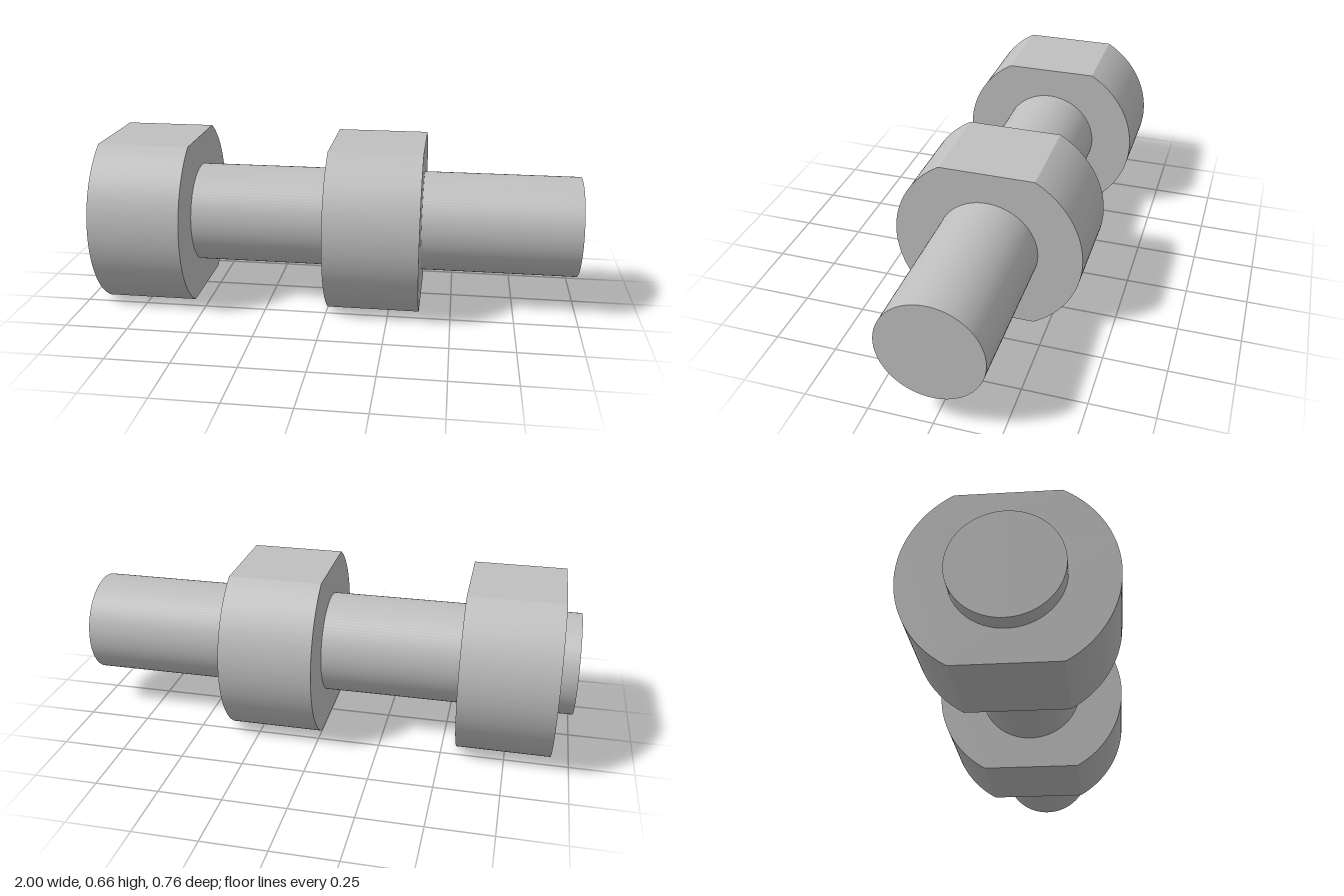
import * as THREE from 'three';
import { toCreasedNormals } from 'three/addons/utils/BufferGeometryUtils.js';

const AXIS_Y = 0.329; // height of the shaft axis, also half the distance across the flats
const SHAFT_RADIUS = 0.203;
const COLLAR_RADIUS = 0.379;

// Round disc with two opposite flats, extruded along x from x0 to x1
function collarGeometry(x0, x1) {
  const a = Math.asin(AXIS_Y / COLLAR_RADIUS);
  const shape = new THREE.Shape();
  shape.absarc(0, 0, COLLAR_RADIUS, -a, a);
  shape.absarc(0, 0, COLLAR_RADIUS, Math.PI - a, Math.PI + a);
  shape.closePath();
  const geometry = new THREE.ExtrudeGeometry(shape, {
    depth: x1 - x0, bevelEnabled: false, curveSegments: 48,
  });
  geometry.rotateY(Math.PI / 2);
  geometry.translate(x0, AXIS_Y, 0);
  return toCreasedNormals(geometry, 0.3);
}

export function createModel() {
  const group = new THREE.Group();
  group.name = 'shaftWithCollars';
  const steel = new THREE.MeshStandardMaterial({ color: 0xbfbfbf });
  steel.name = 'grey steel';

  // Shaft along the full length
  const shaftGeometry = new THREE.CylinderGeometry(SHAFT_RADIUS, SHAFT_RADIUS, 2, 96);
  shaftGeometry.rotateZ(Math.PI / 2);
  shaftGeometry.translate(0, AXIS_Y, 0);
  const shaft = new THREE.Mesh(shaftGeometry, steel);
  shaft.name = 'shaft';
  group.add(shaft);

  // Flatted collars
  const collars = { endCollar: [-0.93, -0.56], middleCollar: [0, 0.373] };
  for (const [name, [x0, x1]] of Object.entries(collars)) {
    const collar = new THREE.Mesh(collarGeometry(x0, x1), steel);
    collar.name = name;
    group.add(collar);
  }
  return group;
}
